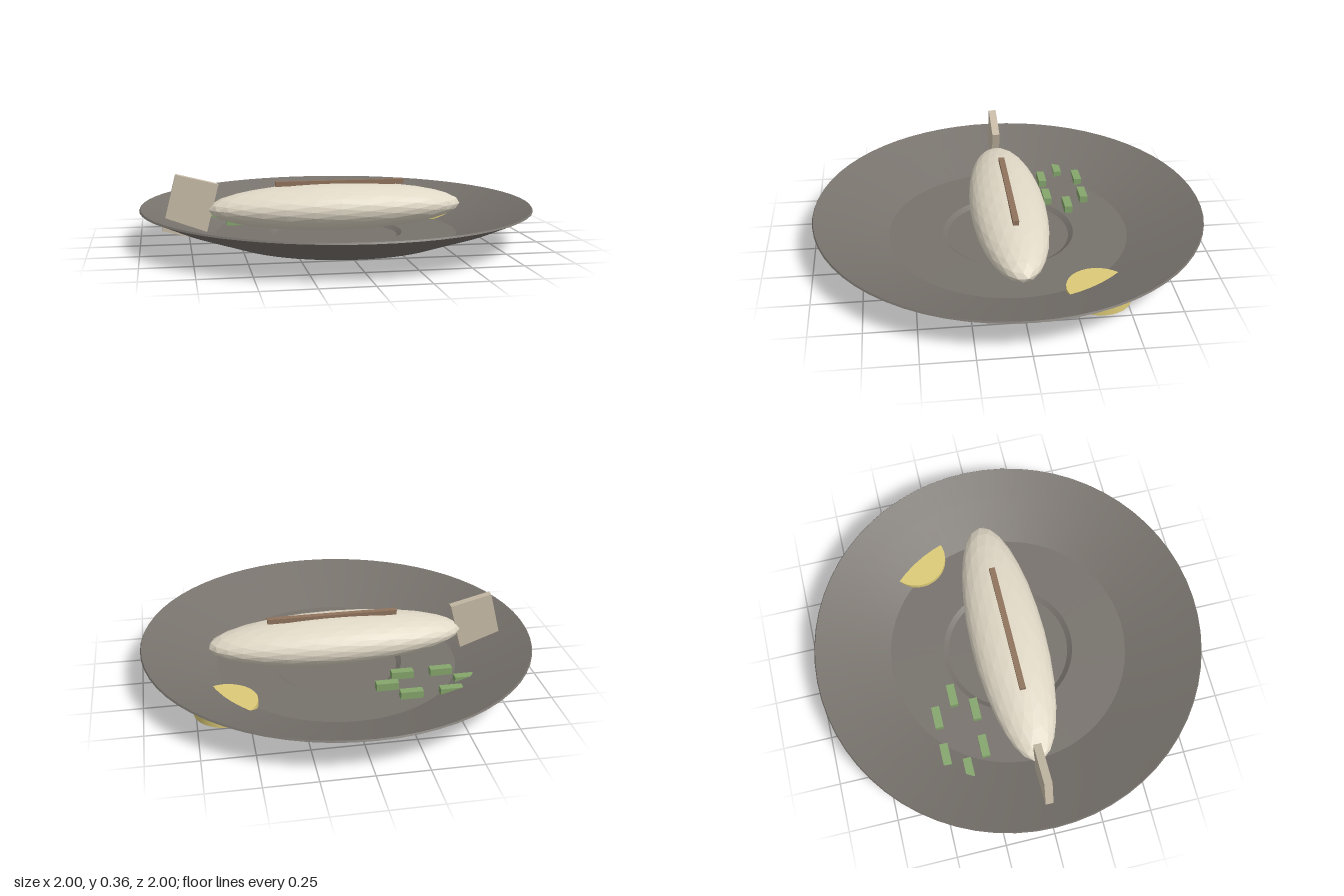
import * as THREE from 'three';
import { toCreasedNormals } from 'three/addons/utils/BufferGeometryUtils.js';

const mat = (color, flatShading = false) => new THREE.MeshStandardMaterial({ color, flatShading });

export function createModel() {
  const model = new THREE.Group();

  const add = (name, geometry, material, x, y, z) => {
    const mesh = new THREE.Mesh(geometry, material);
    mesh.name = name;
    mesh.position.set(x, y, z);
    model.add(mesh);
    return mesh;
  };

  // Plate: thin lathe, underside from the foot out to the rim, then back across the top
  const profile = [
    [0, 0], [0.3, 0], [0.315, 0.018], [0.58, 0.02], [0.85, 0.115], [1, 0.182],
    [0.995, 0.19], [0.85, 0.132], [0.62, 0.047], [0.34, 0.044], [0.315, 0.026], [0, 0.026],
  ].map(([r, y]) => new THREE.Vector2(r, y));
  const plate = toCreasedNormals(new THREE.LatheGeometry(profile, 64), 0.15);
  add('plate', plate, mat(0x77726c), 0, 0, 0);

  // Fish body: faceted long ellipsoid lying on the plate
  const body = new THREE.IcosahedronGeometry(1, 4);
  body.scale(0.66, 0.12, 0.195);
  add('fishBody', body, mat(0xe0d8c6, true), 0, 0.175, 0);

  // Tail: upright slab, tilted
  const tail = add('fishTail', new THREE.BoxGeometry(0.22, 0.293, 0.04), mat(0xc8bca8), -0.747, 0.19, 0);
  tail.rotation.z = -0.25;

  // Strip along the back
  add('backFin', new THREE.BoxGeometry(0.67, 0.025, 0.03), mat(0x8f735c), 0.02, 0.297, 0);

  // Lemon slice, partly sunk into the sloping rim
  add('lemonSlice', toCreasedNormals(new THREE.CylinderGeometry(0.157, 0.157, 0.056, 32), 0.5),
    mat(0xdcca78), 0.605, 0.046, -0.368);

  // Ring of chopped green garnish
  const garnish = new THREE.BoxGeometry(0.113, 0.041, 0.042);
  const green = mat(0x84a56c);
  for (let i = 0; i < 6; i++) {
    const a = (i * Math.PI) / 3;
    add('garnish' + (i + 1), garnish, green, -0.395 + 0.2 * Math.cos(a), 0.063, -0.345 + 0.115 * Math.sin(a));
  }

  return model;
}
